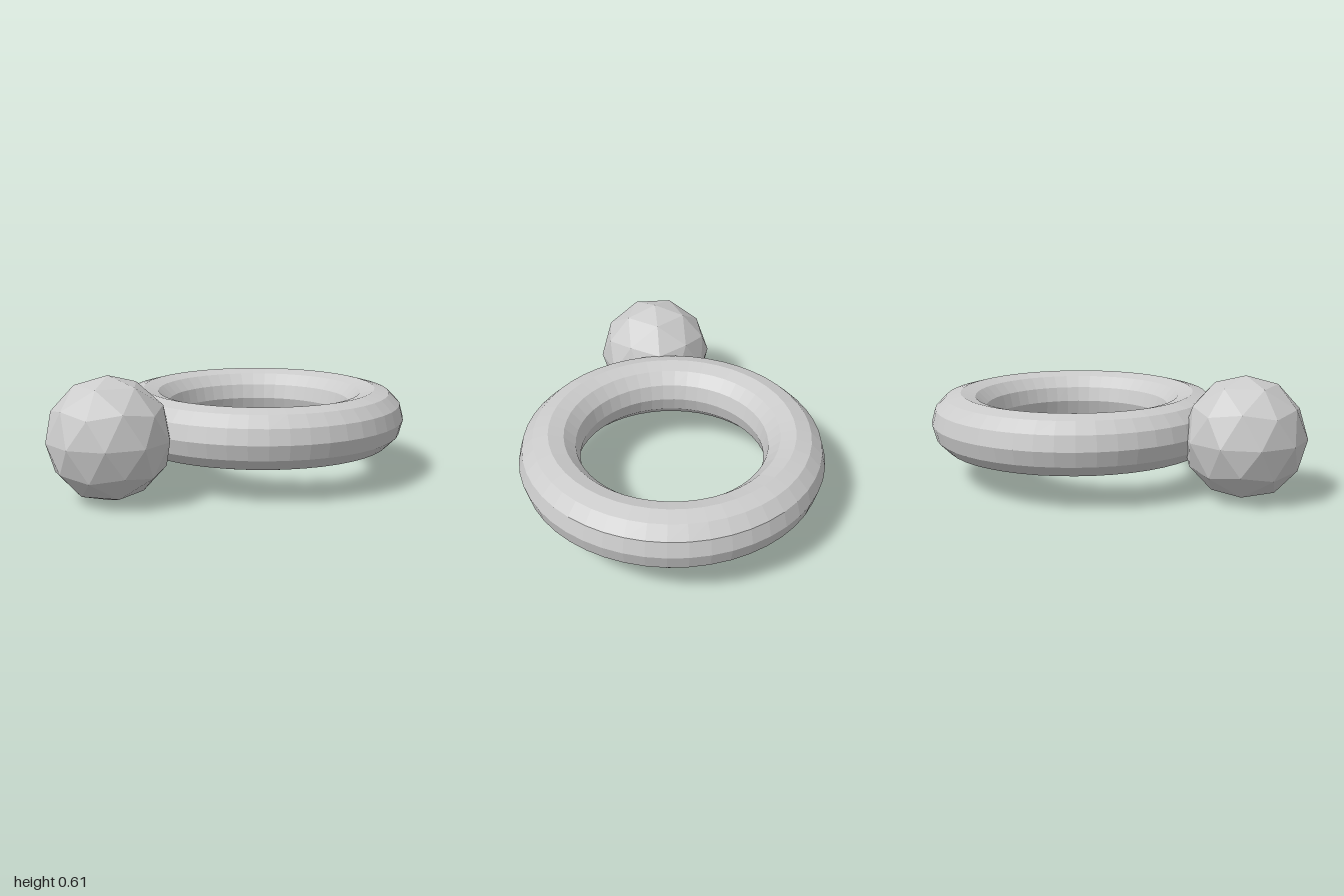
import * as THREE from 'three';

export function createModel() {
  const group = new THREE.Group();
  const material = new THREE.MeshStandardMaterial({ color: 0xcccccc, flatShading: true });
  const unit = 0.3052; // ball radius; also the height of both centres

  // Faceted ring lying flat
  const ringGeometry = new THREE.TorusGeometry(unit * 2, unit / 2, 12, 48);
  ringGeometry.rotateX(Math.PI / 2);
  const ring = new THREE.Mesh(ringGeometry, material);
  ring.name = 'ring';
  ring.position.set(0.237, unit, 0);
  group.add(ring);

  // Faceted ball, turned so that one corner of the icosahedron points straight up
  const ballGeometry = new THREE.IcosahedronGeometry(unit, 1);
  ballGeometry.rotateZ(-Math.atan(2 / (1 + Math.sqrt(5))));
  const ball = new THREE.Mesh(ballGeometry, material);
  ball.name = 'ball';
  ball.position.set(-0.7097, unit, 0);
  group.add(ball);

  return group;
}
